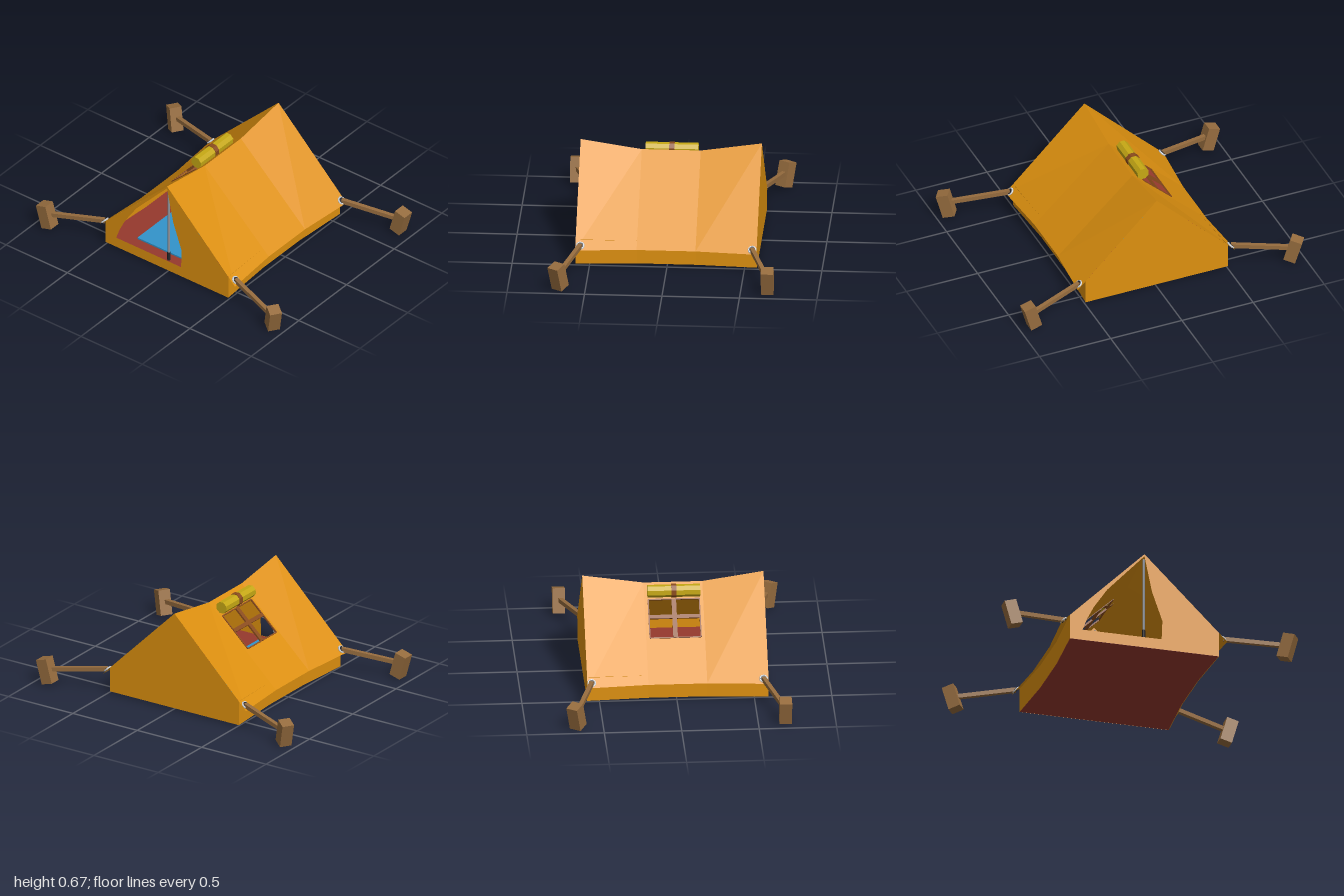
import * as THREE from 'three';

const paint = (name, color, side = THREE.FrontSide) => {
  const m = new THREE.MeshStandardMaterial({ color, side, flatShading: true });
  m.name = name;
  return m;
};

export function createModel() {
  const canvas = paint('orange canvas', 0xdd900f, THREE.DoubleSide);
  const wood = paint('peg wood', 0x966c3e);
  const yellow = paint('yellow roll', 0xc6a814);
  const strapBrown = paint('strap brown', 0x8a4b1c);
  const red = paint('red floor', 0x96392d);
  const blue = paint('blue mat', 0x3294ca);
  const steel = paint('steel', 0x8d929b);
  const dark = paint('dark metal', 0x25262a);
  const pale = paint('pale ring', 0xc9ccd0);

  const model = new THREE.Group();
  model.name = 'tent';
  const body = new THREE.Group();
  body.name = 'tentBody';
  body.position.set(-0.006, 0, 0.005);
  model.add(body);

  const add = (parent, name, geometry, material, x = 0, y = 0, z = 0) => {
    const mesh = new THREE.Mesh(geometry, material);
    mesh.name = name;
    mesh.position.set(x, y, z);
    parent.add(mesh);
    return mesh;
  };

  // four-cornered sheets, corners counter-clockwise from outside
  const sheet = (quads) => {
    const pos = [];
    for (const [a, b, c, d] of quads) for (const p of [a, b, c, a, c, d]) pos.push(...p);
    const g = new THREE.BufferGeometry();
    g.setAttribute('position', new THREE.Float32BufferAttribute(pos, 3));
    g.computeVertexNormals();
    return g;
  };

  // the tent pinches and sags between its two ends
  const END = 0.585, MID = 0.19, EAVE = 0.12, BASE = 0.008;
  const pinch = (z) => Math.max(0, (Math.abs(z) - MID) / (END - MID));
  const eaveX = (z) => 0.523 + 0.032 * pinch(z);
  const wallX = (z) => 0.475 + 0.025 * pinch(z);
  const ridgeY = (z) => 0.61 + 0.06 * pinch(z);
  const roofPoint = (s, t, z) => [s * t * eaveX(z), ridgeY(z) + t * (EAVE - ridgeY(z)), z];
  const stations = [-END, -MID, MID, END];

  // roof window as fractions of the slope and half its width
  const T0 = 0.17, T1 = 0.545, WZ = 0.165;

  for (const s of [-1, 1]) {
    const roof = [], wall = [];
    const patch = (t0, t1, z0, z1) => {
      const q = [roofPoint(s, t0, z0), roofPoint(s, t0, z1), roofPoint(s, t1, z1), roofPoint(s, t1, z0)];
      roof.push(s > 0 ? q : q.reverse());
    };
    for (let i = 0; i < 3; i++) {
      const z0 = stations[i], z1 = stations[i + 1];
      if (s < 0 && i === 1) {
        patch(0, T0, z0, z1);
        patch(T1, 1, z0, z1);
        patch(T0, T1, z0, -WZ);
        patch(T0, T1, WZ, z1);
      } else patch(0, 1, z0, z1);
      const top = (z) => roofPoint(s, wallX(z) / eaveX(z), z);
      const foot = (z) => [s * wallX(z), BASE, z];
      const w = [top(z0), top(z1), foot(z1), foot(z0)];
      wall.push(s > 0 ? w : w.reverse());
    }
    add(body, s > 0 ? 'leftRoof' : 'rightRoof', sheet(roof), canvas);
    add(body, s > 0 ? 'leftWall' : 'rightWall', sheet(wall), canvas);
  }

  // end walls, the front one with a doorway
  const outline = [[-0.5, BASE], [0.5, BASE], [0.5, 0.174], [0, 0.67], [-0.5, 0.174]];
  const door = [[0, 0.655], [-0.13, 0.515], [-0.25, 0.385], [-0.34, 0.25], [-0.385, 0.16],
    [-0.415, 0.08], [0.115, 0.08], [0.12, 0.21], [0.05, 0.41]];
  const toV = (list) => list.map((p) => new THREE.Vector2(...p));
  const front = new THREE.Shape(toV(outline));
  front.holes.push(new THREE.Path(toV(door)));
  add(body, 'frontWall', new THREE.ShapeGeometry(front), canvas, 0, 0, END);
  add(body, 'backWall', new THREE.ShapeGeometry(new THREE.Shape(toV(outline))), canvas, 0, 0, -END)
    .rotation.y = Math.PI;

  // ground sheet and sleeping mat
  const floorOutline = [];
  for (const z of stations) floorOutline.push([wallX(z) - 0.003, z * 0.997]);
  for (const z of [...stations].reverse()) floorOutline.push([-wallX(z) + 0.003, z * 0.997]);
  const floorGeo = new THREE.ExtrudeGeometry(new THREE.Shape(toV(floorOutline)), { depth: 0.07, bevelEnabled: false });
  floorGeo.rotateX(-Math.PI / 2);
  add(body, 'floor', floorGeo, red, 0, BASE, 0);
  add(body, 'sleepingMat', new THREE.BoxGeometry(0.38, 0.012, 1.02), blue, -0.11, 0.083, 0);

  // tent poles at both ends
  for (const s of [-1, 1]) {
    add(body, 'pole', new THREE.CylinderGeometry(0.008, 0.008, 0.56, 8), steel, 0, 0.36, s * 0.565);
    add(body, 'poleFoot', new THREE.CylinderGeometry(0.011, 0.011, 0.06, 8), dark, 0, 0.108, s * 0.565);
  }

  // window trim: local x runs up the slope, y out of it
  const win = new THREE.Group();
  win.name = 'roofWindow';
  const mid = roofPoint(-1, (T0 + T1) / 2, 0);
  win.position.set(...mid);
  win.rotation.z = Math.atan2(0.61 - EAVE, 0.523);
  body.add(win);
  const len = (T1 - T0) * Math.hypot(0.61 - EAVE, 0.523);
  add(win, 'slopeBar', new THREE.BoxGeometry(len, 0.012, 0.03), strapBrown);
  add(win, 'crossBar', new THREE.BoxGeometry(0.026, 0.012, WZ * 2), strapBrown, 0.012, 0, 0);
  for (const s of [-1, 1]) {
    add(win, 'sideTrim', new THREE.BoxGeometry(len, 0.009, 0.008), strapBrown, 0, 0, s * WZ);
    add(win, 'endTrim', new THREE.BoxGeometry(0.008, 0.009, WZ * 2), strapBrown, s * len / 2, 0, 0);
  }

  // rolled window cover with its strap
  const roll = (name, r, l, mat) => add(body, name,
    new THREE.CylinderGeometry(r, r, l, 8).rotateX(Math.PI / 2).rotateZ(0.35), mat, -0.085, 0.585, 0);
  roll('rolledCover', 0.041, 0.34, yellow);
  roll('rollStrap', 0.045, 0.034, strapBrown);

  // guy lines, eyelets and leaning pegs at the four corners
  for (const sx of [-1, 1]) for (const sz of [-1, 1]) {
    const turned = sx === sz;
    const start = new THREE.Vector3(sx * 0.535 - 0.004, 0.147, sz * 0.555 + 0.003);
    const pegAt = new THREE.Vector3(sx * (turned ? 0.927 : 0.918), 0.09, sz * 0.675);

    const eyelet = new THREE.Group();
    eyelet.name = 'eyelet';
    eyelet.position.copy(start);
    eyelet.rotation.z = -sx * Math.PI / 4;
    model.add(eyelet);
    add(eyelet, 'eyeletRing', new THREE.TorusGeometry(0.023, 0.006, 6, 12).rotateX(Math.PI / 2), pale);
    add(eyelet, 'eyeletCore', new THREE.CylinderGeometry(0.02, 0.02, 0.014, 10), dark);

    const end = pegAt.clone().setY(0.1);
    const line = add(model, 'guyLine', new THREE.BoxGeometry(0.028, 0.028, start.distanceTo(end)), wood);
    line.position.copy(start).lerp(end, 0.5);
    line.lookAt(end);

    const peg = add(model, 'peg', new THREE.BoxGeometry(0.08, 0.165, 0.08), wood, pegAt.x, pegAt.y, pegAt.z);
    peg.rotation.order = 'YXZ';
    peg.rotation.set(0, turned ? -0.6 : 0, -sx * 0.28);
  }
  return model;
}
